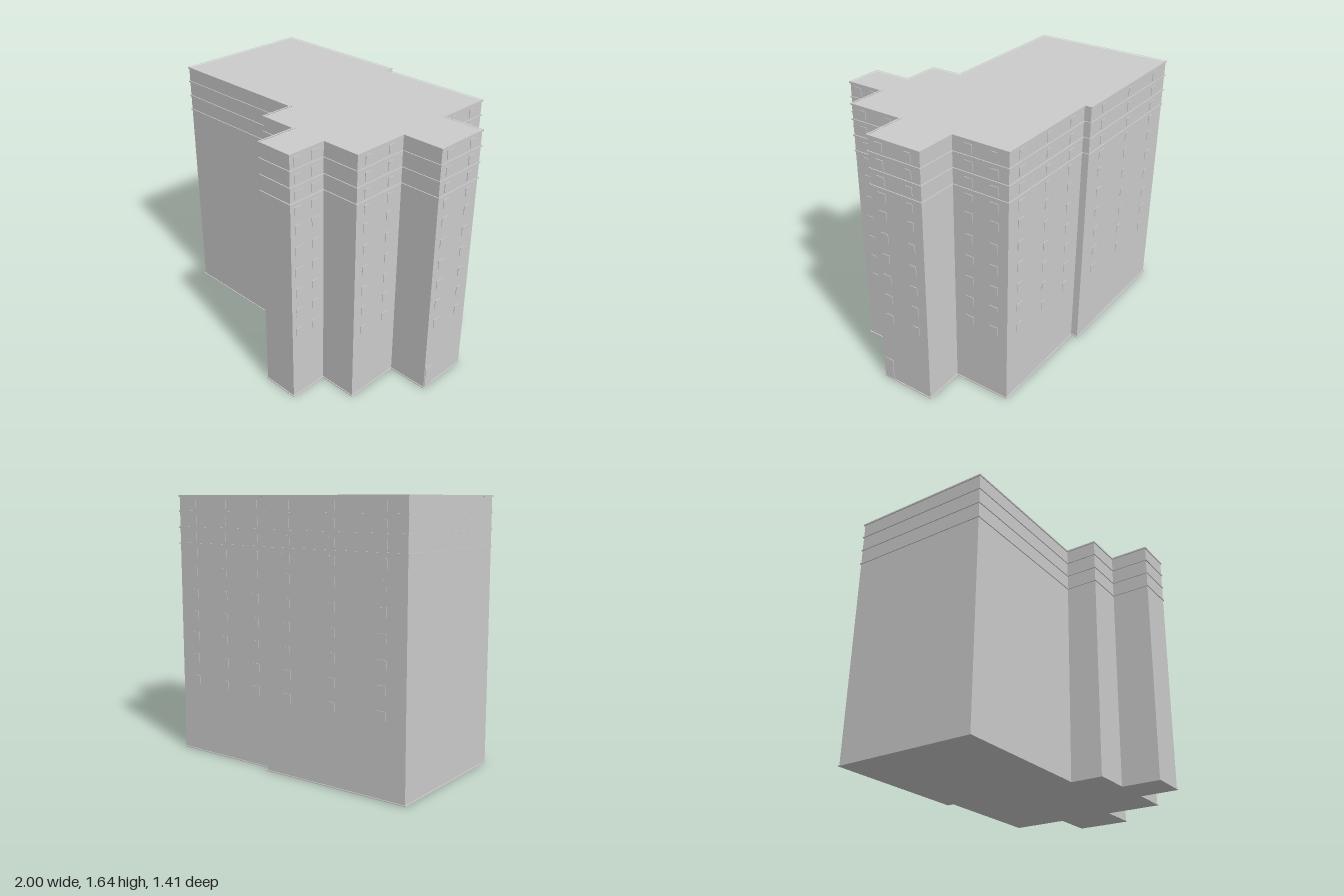
import * as THREE from 'three';

const mat = new THREE.MeshStandardMaterial({ color: 0xcccccc, flatShading: true });

// Stepped footprint as [x, z], outer line of the ledges
const plan = [
  [-1, -0.705], [-0.02, -0.705], [-0.02, -0.66], [0.735, -0.66],
  [0.735, -0.29], [1, -0.29], [1, 0.08], [0.735, 0.08],
  [0.735, 0.45], [0.485, 0.45], [0.485, 0.705], [0.235, 0.705],
  [0.235, 0.45], [-0.015, 0.45], [-0.015, 0.24], [-1, 0.24],
].map(([x, z]) => new THREE.Vector2(x, -z));

const inward = (p, q) => {
  const d = q.clone().sub(p).normalize();
  return new THREE.Vector2(d.y, -d.x);
};

// Footprint moved inwards by t (all corners are square)
function inset(t) {
  const n = plan.length;
  return plan.map((p, i) => p.clone()
    .addScaledVector(inward(plan[(i + n - 1) % n], p), t)
    .addScaledVector(inward(p, plan[(i + 1) % n]), t));
}

function slab(name, outer, y0, y1, hole) {
  const shape = new THREE.Shape(outer);
  if (hole) shape.holes.push(new THREE.Path(hole));
  const geo = new THREE.ExtrudeGeometry(shape, { depth: y1 - y0, bevelEnabled: false });
  geo.rotateX(-Math.PI / 2).translate(0, y0, 0);
  const mesh = new THREE.Mesh(geo, mat);
  mesh.name = name;
  return mesh;
}

function box(name, w, h, d, x, y, z) {
  const mesh = new THREE.Mesh(new THREE.BoxGeometry(w, h, d), mat);
  mesh.name = name;
  mesh.position.set(x, y, z);
  return mesh;
}

export function createModel() {
  const building = new THREE.Group();
  building.name = 'building';
  const wallInset = 0.006;
  const walls = inset(wallInset);

  // Main block, base course, floor ledges and roof rim
  building.add(slab('walls', walls, 0, 1.634));
  building.add(slab('baseCourse', plan, 0, 0.006, walls));
  for (const y of [1.34, 1.44, 1.54])
    building.add(slab('floorLedge', plan, y - 0.004, y + 0.004, walls));
  building.add(slab('roofRim', plan, 1.63, 1.64, inset(0.012)));

  // Window columns, ten storeys each
  const storeys = [0.47, 0.61, 0.75, 0.89, 1.03, 1.17, 1.285, 1.385, 1.485, 1.585];
  const windows = new THREE.Group();
  windows.name = 'windows';
  const depth = 0.008;

  // Back walls: [x, wall z, width]
  const backColumns = [
    [-0.84, -0.705, 0.055], [-0.505, -0.705, 0.04], [-0.18, -0.705, 0.055],
    [0.1, -0.66, 0.055], [0.35, -0.66, 0.04], [0.61, -0.66, 0.055],
  ];
  for (const [x, z, w] of backColumns)
    for (const y of storeys)
      windows.add(box('backWindow', w, 0.055, depth, x, y, z + wallInset));

  // Side walls facing +x: [wall x, z, width]
  const sideColumns = [
    [0.735, -0.56, 0.055], [0.735, -0.39, 0.055],
    [1, -0.2, 0.045], [1, 0, 0.055],
    [0.735, 0.17, 0.045], [0.735, 0.36, 0.045],
    [0.485, 0.51, 0.055], [0.485, 0.64, 0.055],
  ];
  for (const [x, z, w] of sideColumns)
    for (const y of storeys)
      windows.add(box('sideWindow', depth, 0.055, w, x - wallInset, y, z));
  building.add(windows);

  // Entrance on the side wing
  building.add(box('door', depth, 0.15, 0.065, 1 - wallInset, 0.075, 0.035));

  return building;
}
